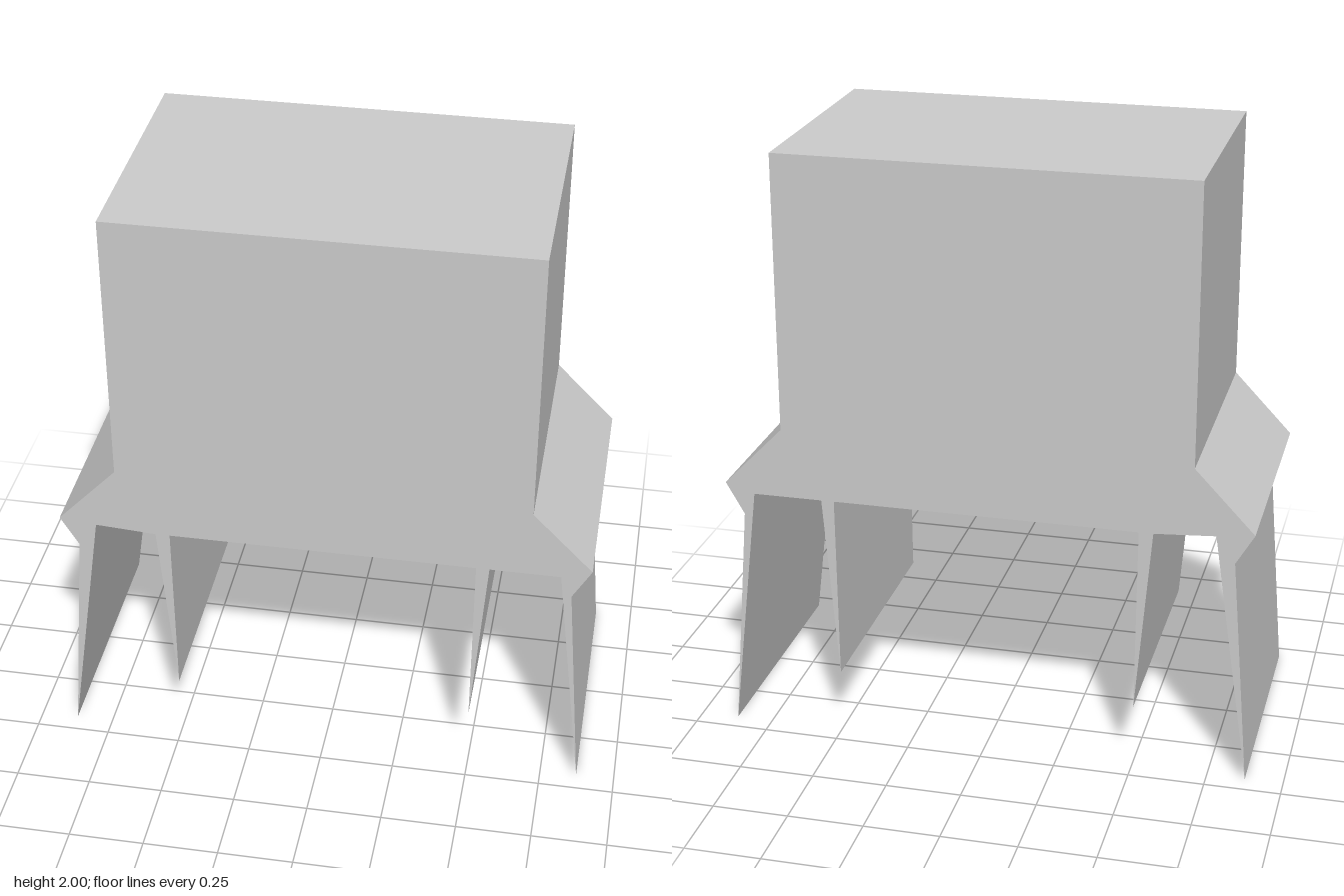
import * as THREE from 'three';

const DEPTH = 0.875;

export function createModel() {
  const model = new THREE.Group();
  model.name = 'fourLeggedBlock';

  const grey = new THREE.MeshStandardMaterial({ color: 0xcccccc });
  grey.name = 'grey';

  // Front outline, clockwise from the top right corner
  const outline = [
    [0.675, 2], [0.675, 1.08],                                  // block side
    [0.873, 0.877], [0.812, 0.77],                              // sloped shoulder
    [0.873, 0], [0.775, 0.845],                                 // outer leg
    [0.545, 0.845], [0.497, 0.22], [0.502, 0.845],              // inner leg
    [-0.506, 0.845], [-0.501, 0.22], [-0.553, 0.845],           // inner leg
    [-0.753, 0.858], [-0.875, 0], [-0.815, 0.77],               // outer leg
    [-0.875, 0.872], [-0.678, 1.08], [-0.678, 2],               // shoulder and block side
  ].map(([x, y]) => new THREE.Vector2(x, y));

  // Block, shoulders and thin tapered legs are one solid of constant depth
  const geometry = new THREE.ExtrudeGeometry(new THREE.Shape(outline), {
    depth: DEPTH,
    bevelEnabled: false,
  });
  geometry.translate(0, 0, -DEPTH / 2);

  const body = new THREE.Mesh(geometry, grey);
  body.name = 'bodyWithLegs';
  model.add(body);

  return model;
}
